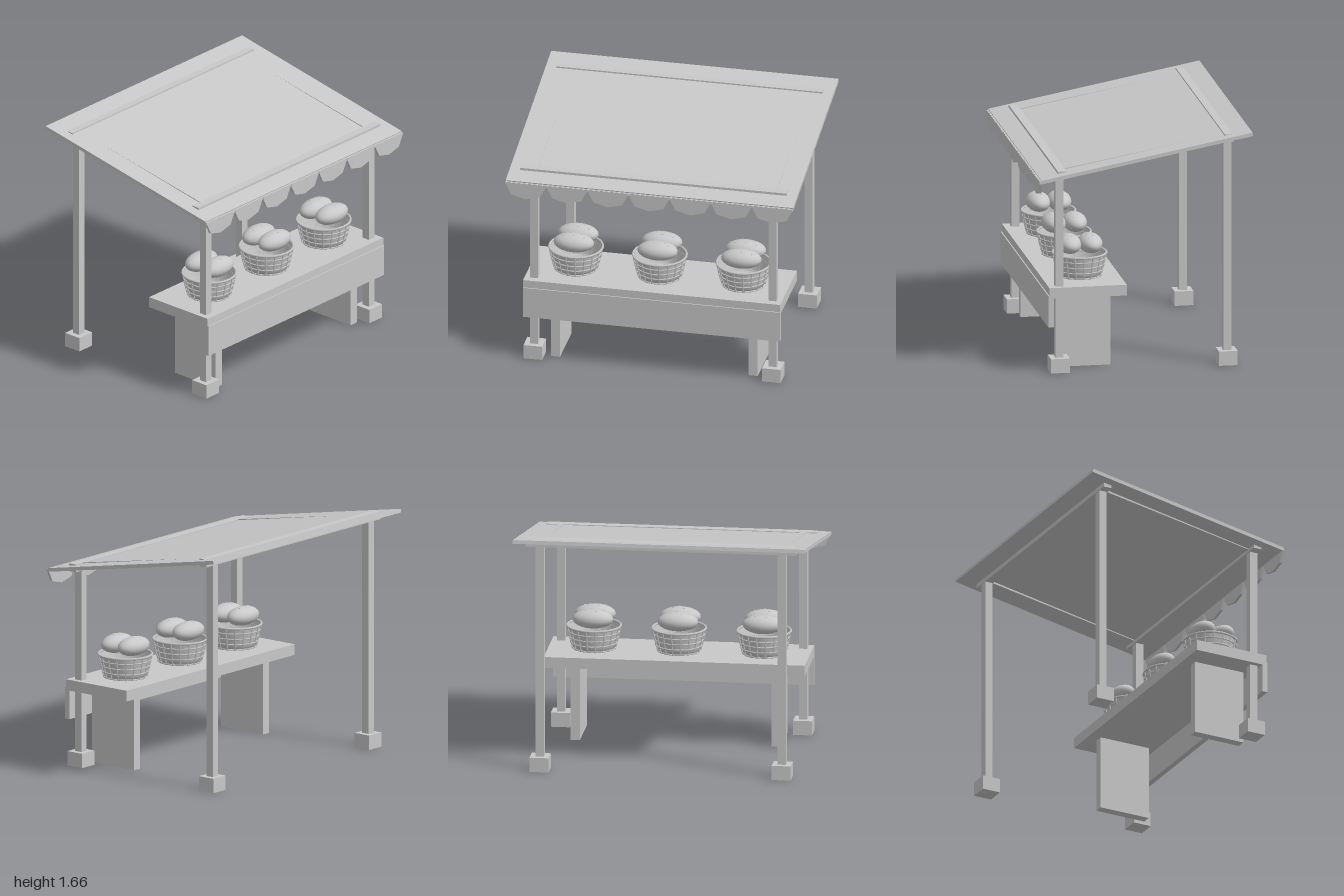
import * as THREE from 'three';

const grey = new THREE.MeshStandardMaterial({ color: 0xc8c8c8, side: THREE.DoubleSide });

function add(parent, name, geometry, x = 0, y = 0, z = 0) {
  const mesh = new THREE.Mesh(geometry, grey);
  mesh.name = name;
  mesh.position.set(x, y, z);
  parent.add(mesh);
  return mesh;
}

// Box given by its limits on each axis
function box(parent, name, x0, x1, y0, y1, z0, z1) {
  return add(parent, name, new THREE.BoxGeometry(x1 - x0, y1 - y0, z1 - z0),
    (x0 + x1) / 2, (y0 + y1) / 2, (z0 + z1) / 2);
}

// Bar sloping up towards the back, through two (y, z) centre points
function slopedBar(parent, name, x, width, thick, y0, z0, y1, z1) {
  const bar = add(parent, name,
    new THREE.BoxGeometry(width, thick, Math.hypot(y1 - y0, z1 - z0)),
    x, (y0 + y1) / 2, (z0 + z1) / 2);
  bar.rotation.x = Math.atan2(y1 - y0, z0 - z1);
  return bar;
}

// Straight rod between two points
function rod(parent, name, a, b, r) {
  const mesh = add(parent, name, new THREE.CylinderGeometry(r, r, a.distanceTo(b), 6));
  mesh.position.copy(a).lerp(b, 0.5);
  mesh.quaternion.setFromUnitVectors(new THREE.Vector3(0, 1, 0), b.clone().sub(a).normalize());
  return mesh;
}

function makeBread() {
  const bread = new THREE.Group();
  bread.name = 'bread';
  const size = new THREE.Vector3(0.14, 0.065, 0.082);
  add(bread, 'loaf', new THREE.SphereGeometry(1, 24, 16)).scale.copy(size);
  // Small seeds scattered over the crust
  const seed = new THREE.SphereGeometry(0.005, 6, 4);
  for (const [u, v] of [[-0.5, 0.2], [-0.2, -0.35], [0.05, 0.3], [0.35, -0.15], [0.55, 0.3]]) {
    const h = Math.sqrt(1 - u * u - v * v);
    add(bread, 'seed', seed, u * size.x, h * size.y, v * size.z).scale.set(1.5, 0.7, 0.8);
  }
  return bread;
}

function makeBasket() {
  const basket = new THREE.Group();
  basket.name = 'basket';
  const height = 0.17;
  const radius = (t) => 0.145 + 0.04 * Math.pow(t, 0.8);

  // Wall and floor
  const profile = [new THREE.Vector2(0.001, 0.004)];
  for (let i = 0; i <= 5; i++) {
    profile.push(new THREE.Vector2(radius(i / 5) - 0.004, 0.004 + (height - 0.008) * i / 5));
  }
  add(basket, 'basketWall', new THREE.LatheGeometry(profile, 24));

  // Woven hoops
  for (const t of [0.05, 0.27, 0.5, 0.73, 0.95]) {
    const hoop = add(basket, 'hoop',
      new THREE.TorusGeometry(radius(t), t > 0.9 ? 0.008 : 0.005, 6, 24), 0, height * t, 0);
    hoop.rotation.x = Math.PI / 2;
  }

  // Upright stakes
  for (let i = 0; i < 18; i++) {
    const a = (i / 18) * Math.PI * 2;
    const at = (t) => new THREE.Vector3(Math.cos(a) * radius(t), height * t, Math.sin(a) * radius(t));
    rod(basket, 'stake', at(0.02), at(0.5), 0.005);
    rod(basket, 'stake', at(0.5), at(0.97), 0.005);
  }

  // Two loaves side by side
  for (const z of [-0.073, 0.073]) {
    const bread = makeBread();
    bread.position.set(0, 0.225, z);
    basket.add(bread);
  }
  return basket;
}

export function createModel() {
  const stall = new THREE.Group();
  stall.name = 'marketStall';

  // Posts, feet, table legs and rafters on both sides
  for (const s of [-1, 1]) {
    const x = s * 0.83;
    for (const [z, top] of [[0.573, 1.4], [-0.587, 1.61]]) {
      box(stall, 'post', x - 0.028, x + 0.028, 0.05, top, z - 0.028, z + 0.028);
      box(stall, 'foot', x - 0.065, x + 0.065, 0, 0.1, z - 0.065, z + 0.065);
    }
    box(stall, 'tableLeg', s * 0.688 - 0.032, s * 0.688 + 0.032, 0, 0.53, 0.195, 0.565);
    slopedBar(stall, 'rafter', x, 0.04, 0.037, 1.4, 0.573, 1.607, -0.587);
  }

  // Cross beams
  box(stall, 'frontBeam', -0.927, 0.927, 1.37, 1.424, 0.537, 0.597);
  box(stall, 'backBeam', -0.927, 0.927, 1.578, 1.632, -0.617, -0.557);

  // Roof
  slopedBar(stall, 'roof', 0, 2, 0.025, 1.372, 0.722, 1.643, -0.738);

  // Scalloped valance
  const pitch = 2 / 7;
  const scallop = new THREE.Shape([
    [-0.138, 1.375], [-0.138, 1.36], [-0.1, 1.285], [0, 1.26],
    [0.1, 1.285], [0.138, 1.36], [0.138, 1.375],
  ].map(([x, y]) => new THREE.Vector2(x, y)));
  const scallopGeometry = new THREE.ExtrudeGeometry(scallop, { depth: 0.018, bevelEnabled: false });
  for (let i = -3; i <= 3; i++) add(stall, 'scallop', scallopGeometry, i * pitch, 0, 0.718);
  box(stall, 'valanceBand', -1, 1, 1.36, 1.377, 0.718, 0.734);

  // Table
  box(stall, 'tableTop', -0.895, 0.895, 0.525, 0.6, 0.115, 0.65);
  box(stall, 'frontPanel', -0.895, 0.895, 0.325, 0.545, 0.62, 0.658);

  // Baskets of bread
  for (const x of [-0.583, 0, 0.583]) {
    const basket = makeBasket();
    basket.position.set(x, 0.602, 0.385);
    stall.add(basket);
  }
  return stall;
}
